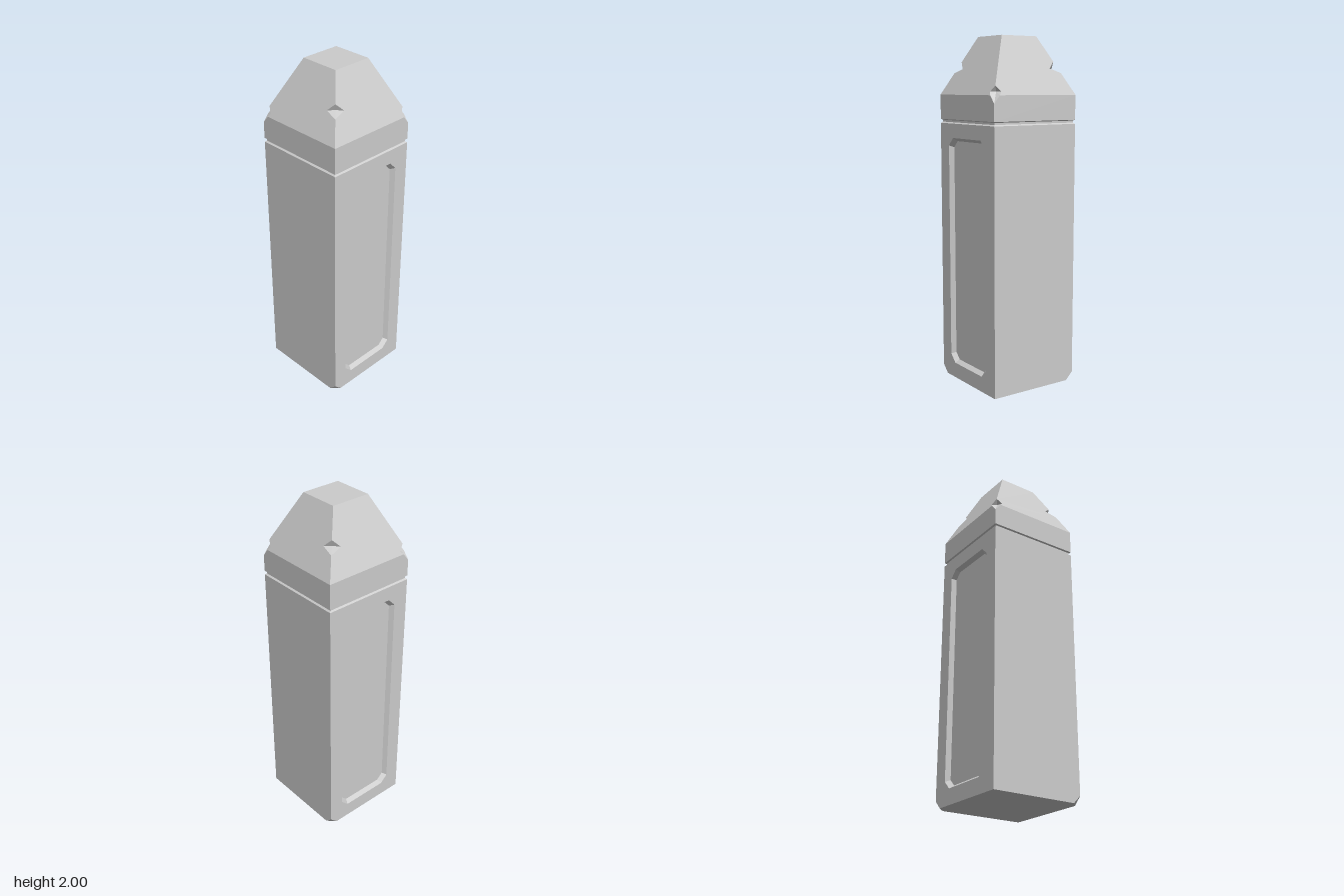
import * as THREE from 'three';

const W = 0.277;      // half width of the pillar
const RIM = 1.675;    // where the cap starts to taper
const TIP = 0.118;    // half width of the flat top
const SLOPE = (2 - RIM) / (W - TIP);
const yAt = h => RIM + (W - h) * SLOPE;                       // height on the slope for a half width
const halfAt = y => (y <= RIM ? W : W - (y - RIM) / SLOPE);   // half width for a height

const material = new THREE.MeshStandardMaterial({ color: 0xcccccc, flatShading: true });

function add(parent, name, geometry, turn = 0) {
  const mesh = new THREE.Mesh(geometry, material);
  mesh.name = name;
  mesh.rotation.y = turn;
  parent.add(mesh);
  return mesh;
}

const toShape = pts => new THREE.Shape(pts.map(([x, y]) => new THREE.Vector2(x, y)));

// Flat outline (u, y) wrapped onto the front of the pillar; mirror = -1 flips it
function wall(pts, mirror = 1, hole) {
  const shape = toShape(pts.map(([x, y]) => [x * mirror, y]));
  if (hole) shape.holes.push(toShape(hole));
  const geo = new THREE.ShapeGeometry(shape);
  const p = geo.attributes.position;
  for (let i = 0; i < p.count; i++) p.setZ(i, halfAt(p.getY(i)));
  geo.computeVertexNormals();
  return geo;
}

function triangles(list) {
  const geo = new THREE.BufferGeometry();
  geo.setAttribute('position', new THREE.Float32BufferAttribute(list.flat(), 3));
  geo.computeVertexNormals();
  return geo;
}

// Triangles from a centre to a closed ring
function fan(center, ring) {
  return triangles(ring.flatMap((p, i) => [center, p, ring[(i + 1) % ring.length]]));
}

// Rectangle with cut corners
function octagon(w, y0, y1, c) {
  return [[-w + c, y0], [w - c, y0], [w, y0 + c], [w, y1 - c],
    [w - c, y1], [-w + c, y1], [-w, y1 - c], [-w, y0 + c]];
}

export function createModel() {
  const model = new THREE.Group();
  model.name = 'stonePillar';

  const chip = 0.045;
  const outer = octagon(0.188, 0.09, 1.43, 0.045);
  const inner = octagon(0.17, 0.108, 1.412, 0.037);
  const floorZ = W - 0.025;

  const bodySide = [[-W + chip, 0], [W, 0], [W, 1.512], [-W, 1.512], [-W, chip]];
  const capBand = [[-W, 1.535], [W, 1.535], [W, 1.63], [0.24, RIM], [-W, RIM]];
  const capSlope = [[-W, RIM], [0.24, RIM], [0.225, yAt(0.268)], [0.252, yAt(0.252)], [TIP, 2],
    [-TIP, 2], [-0.187, yAt(0.187)], [-0.145, yAt(0.207)], [-0.218, yAt(0.218)]];

  // Four sides, alternately mirrored; front and back carry a panel
  for (let k = 0; k < 4; k++) {
    const turn = k * Math.PI / 2, mirror = k % 2 ? -1 : 1;
    add(model, 'bodySide', wall(bodySide, mirror, k % 2 ? null : outer), turn);
    add(model, 'capBand', wall(capBand, mirror), turn);
    add(model, 'capSlope', wall(capSlope, mirror), turn);
  }

  // Recessed panels: bevelled border and floor
  const border = outer.flatMap((a, i) => {
    const j = (i + 1) % outer.length;
    const [p, q, r, s] = [[...a, W], [...outer[j], W], [...inner[j], floorZ], [...inner[i], floorZ]];
    return [p, q, r, p, r, s];
  });
  for (const turn of [0, Math.PI]) {
    add(model, 'panelBorder', triangles(border), turn);
    add(model, 'panelFloor', new THREE.ShapeGeometry(toShape(inner)).translate(0, 0, floorZ), turn);
  }

  // Groove between body and cap
  const groove = [[W, 1.512], [0.268, 1.519], [0.268, 1.53], [W, 1.535]]
    .map(([r, y]) => new THREE.Vector2(r * Math.SQRT2, y));
  add(model, 'neckGroove', new THREE.LatheGeometry(groove, 4, Math.PI / 4));

  // Flat top, and base with two missing corners
  add(model, 'capTop', new THREE.PlaneGeometry(2 * TIP, 2 * TIP).rotateX(-Math.PI / 2).translate(0, 2, 0));
  const base = toShape([[-W, -W], [W - chip, -W], [W, -W + chip], [W, W], [-W + chip, W], [-W, W - chip]]);
  add(model, 'base', new THREE.ShapeGeometry(base).rotateX(Math.PI / 2).scale(-1, 1, 1).scale(-1, 1, 1));

  // Damage at the corners, drawn at (+x, +z) and turned into place
  const lowNotch = fan([0.238, 1.695, 0.238], [
    [0.252, yAt(0.252), 0.252], [0.225, yAt(0.268), 0.268], [0.24, RIM, W],
    [W, 1.63, W], [W, RIM, 0.24], [0.268, yAt(0.268), 0.225]]);
  const highNotch = fan([0.176, 1.82, 0.176], [
    [0.187, yAt(0.187), 0.187], [0.145, yAt(0.207), 0.207],
    [0.218, yAt(0.218), 0.218], [0.207, yAt(0.207), 0.145]]);
  const baseChip = triangles([[W - chip, 0, W], [W, 0, W - chip], [W, chip, W]]);
  for (const turn of [0, Math.PI]) {
    add(model, 'lowCapNotch', lowNotch, turn);
    add(model, 'highCapNotch', highNotch, turn - Math.PI / 2);
    add(model, 'baseChip', baseChip, turn - Math.PI / 2);
  }
  return model;
}
